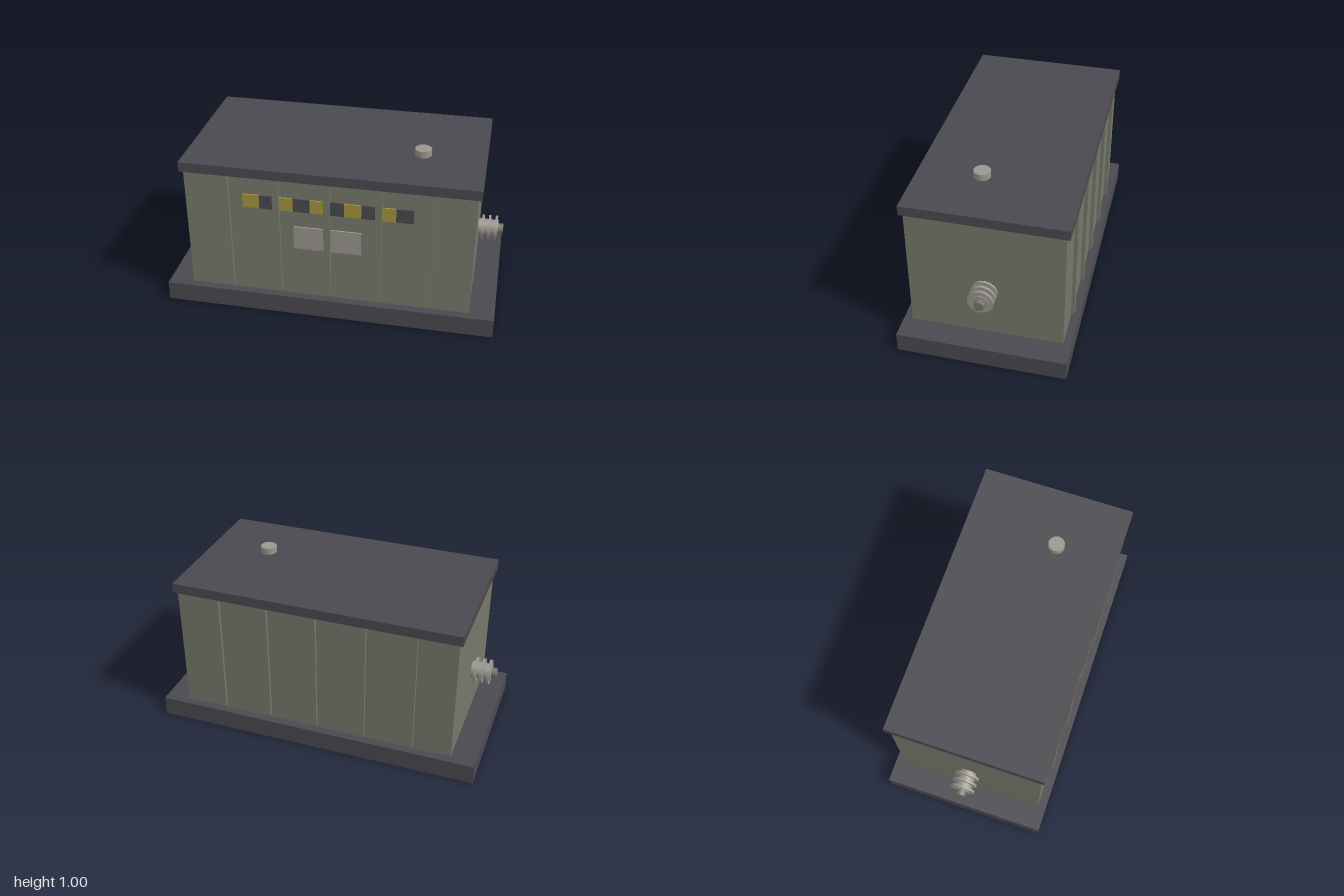
import * as THREE from 'three';

const material = (name, color) => {
  const m = new THREE.MeshStandardMaterial({ color });
  m.name = name;
  return m;
};

export function createModel() {
  const model = new THREE.Group();
  model.name = 'transformerBox';

  const olive = material('olive grey paint', 0x76786a);
  const dark = material('dark grey', 0x4a494f);
  const pale = material('pale grey', 0x9a968f);
  const yellow = material('warning yellow', 0xa4943e);

  const box = (name, mat, w, h, d, x, y, z) => {
    const mesh = new THREE.Mesh(new THREE.BoxGeometry(w, h, d), mat);
    mesh.name = name;
    mesh.position.set(x, y, z);
    model.add(mesh);
  };

  // Plinth, cabinet and overhanging lid
  box('base', dark, 2, 0.12, 1, 0, 0.06, 0);
  box('cabinet', olive, 1.7, 0.78, 0.9, 0, 0.51, 0);
  box('lid', dark, 1.74, 0.06, 0.94, 0, 0.93, 0);

  // Vertical ribs on front and back
  for (const side of [1, -1]) {
    for (let i = -2; i <= 2; i++) {
      box('rib', olive, 0.04, 0.76, 0.02, i * 0.3, 0.52, side * 0.46);
    }
  }

  // Warning band and blank plate on the front
  for (let i = 0; i < 10; i++) {
    box('warningStripe', i % 2 ? dark : yellow, 0.1, 0.085, 0.008, -0.45 + i * 0.1, 0.743, 0.454);
  }
  box('frontPlate', pale, 0.4, 0.15, 0.009, 0, 0.525, 0.4545);

  // Breather cap on the lid
  const cap = new THREE.Mesh(new THREE.CylinderGeometry(0.05, 0.05, 0.04, 12), pale);
  cap.name = 'breatherCap';
  cap.position.set(0.5, 0.98, 0.1);
  model.add(cap);

  // Ribbed insulator with terminal on each end, built along +y then turned outward
  for (const side of [1, -1]) {
    const insulator = new THREE.Group();
    insulator.name = side > 0 ? 'leftInsulator' : 'rightInsulator';
    const ring = (name, mat, radius, from, to) => {
      const mesh = new THREE.Mesh(new THREE.CylinderGeometry(radius, radius, to - from, 20), mat);
      mesh.name = name;
      mesh.position.y = (from + to) / 2;
      insulator.add(mesh);
    };
    ring('insulatorCore', pale, 0.05, 0, 0.12);
    for (const at of [0.027, 0.067, 0.107]) ring('insulatorDisc', pale, 0.075, at - 0.0075, at + 0.0075);
    ring('terminal', olive, 0.03, 0.11, 0.15);
    insulator.position.set(side * 0.85, 0.45, 0);
    insulator.rotation.z = -side * Math.PI / 2;
    model.add(insulator);
  }

  return model;
}
